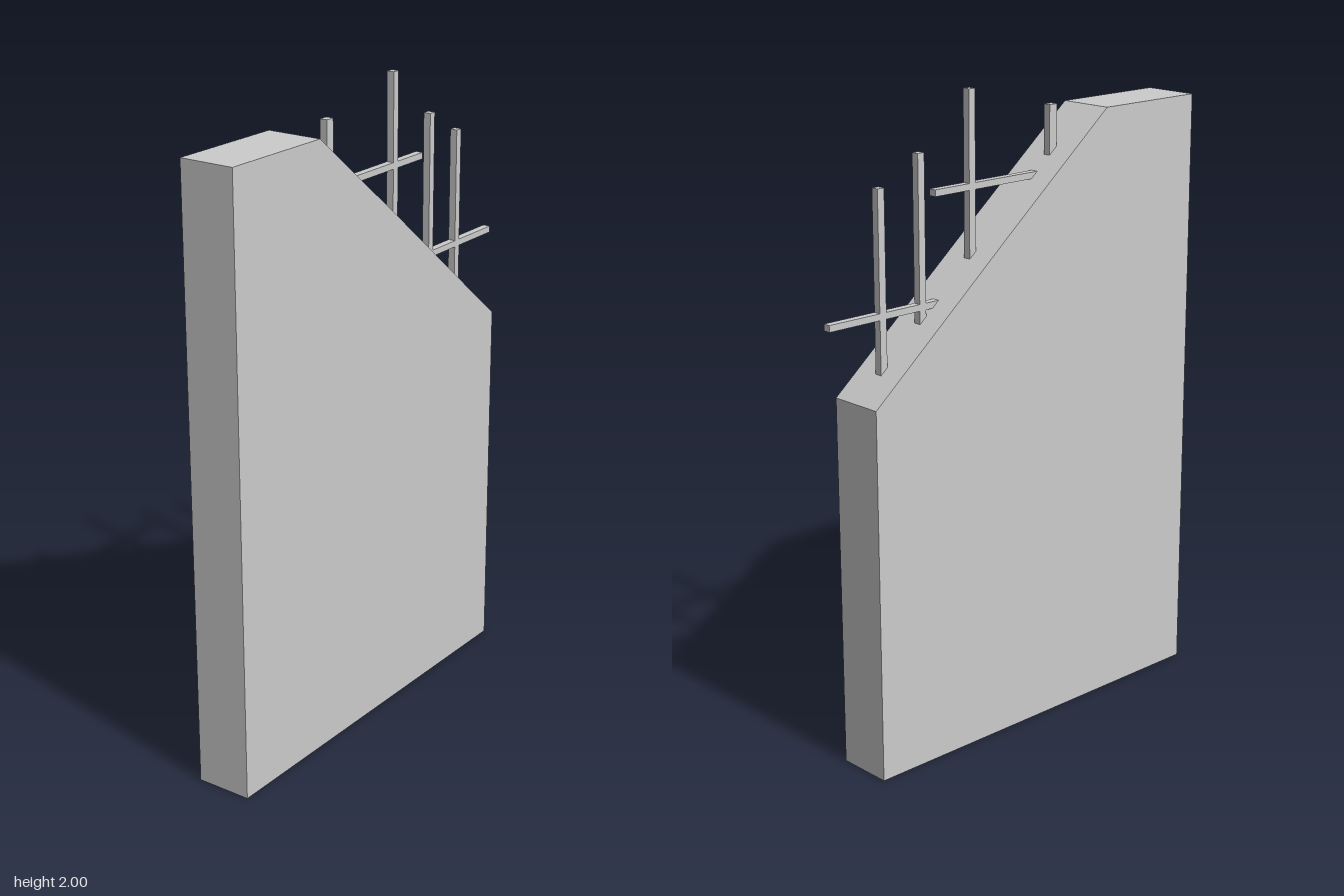
import * as THREE from 'three';

const material = new THREE.MeshStandardMaterial({ color: 0xcccccc, flatShading: true });
const DEPTH = 0.178;
const ROD = 0.024;

export function createModel() {
  const model = new THREE.Group();
  model.name = 'brokenWall';

  const add = (name, geometry, x, y, z) => {
    const mesh = new THREE.Mesh(geometry, material);
    mesh.name = name;
    mesh.position.set(x, y, z);
    model.add(mesh);
  };

  // Wall slab with a sloping broken edge
  const outline = [[-0.7, 0], [0.6, 0], [0.6, 1.152], [0.08, 1.58], [-0.318, 1.903], [-0.7, 1.903]];
  const shape = new THREE.Shape(outline.map(([x, y]) => new THREE.Vector2(x, y)));
  const slab = new THREE.ExtrudeGeometry(shape, { depth: DEPTH, bevelEnabled: false });
  add('wallSlab', slab, 0, 0, -DEPTH / 2);

  // Upright reinforcing bars: x, bottom (inside the slab), top, width
  const uprights = [
    [-0.168, 1.7, 1.92, 0.03],
    [0.159, 1.44, 2.0, ROD],
    [0.354, 1.28, 1.84, ROD],
    [0.503, 1.16, 1.76, ROD],
  ];
  uprights.forEach(([x, bottom, top, width], i) =>
    add(`uprightBar${i + 1}`, new THREE.BoxGeometry(width, top - bottom, ROD), x, (bottom + top) / 2, 0));

  // Level reinforcing bars: y, start (inside the slab), end
  const levels = [[1.718, -0.16, 0.302], [1.394, 0.24, 0.697]];
  levels.forEach(([y, start, end], i) =>
    add(`levelBar${i + 1}`, new THREE.BoxGeometry(end - start, 0.02, ROD), (start + end) / 2, y, 0));

  return model;
}
